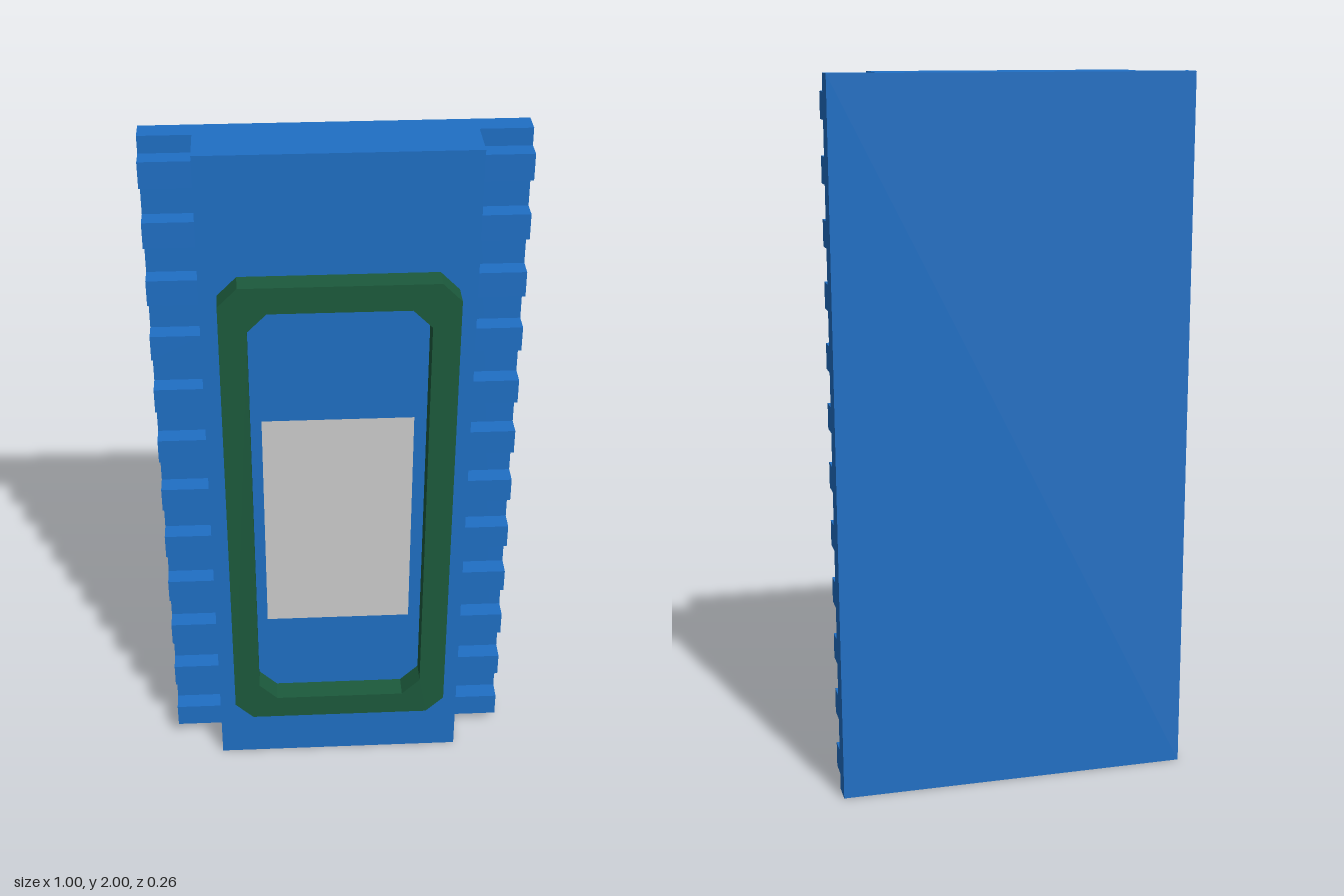
import * as THREE from 'three';

const blue = new THREE.MeshStandardMaterial({ color: 0x1f6fc4, flatShading: true });
const green = new THREE.MeshStandardMaterial({ color: 0x1c5a3c, flatShading: true });
const grey = new THREE.MeshStandardMaterial({ color: 0xcccccc, side: THREE.DoubleSide });

// Rectangle with chamfered corners, used for both outlines of the frame
function chamferedRect(path, w, y0, y1, c) {
  path.moveTo(-w + c, y0);
  path.lineTo(w - c, y0);
  path.lineTo(w, y0 + c);
  path.lineTo(w, y1 - c);
  path.lineTo(w - c, y1);
  path.lineTo(-w + c, y1);
  path.lineTo(-w, y1 - c);
  path.lineTo(-w, y0 + c);
  path.closePath();
  return path;
}

export function createModel() {
  const group = new THREE.Group();
  const add = (name, geometry, material, x = 0, y = 0, z = 0) => {
    const mesh = new THREE.Mesh(geometry, material);
    mesh.name = name;
    mesh.position.set(x, y, z);
    group.add(mesh);
    return mesh;
  };

  const edge = 0.5, core = 0.362;
  const back = -0.13, step = -0.065, toothFront = -0.012, front = 0.065;

  // Stepped slab: wide back plate with a raised centre
  const profile = new THREE.Shape([
    [-edge, back], [edge, back], [edge, step], [core, step],
    [core, front], [-core, front], [-core, step], [-edge, step],
  ].map(([x, z]) => new THREE.Vector2(x, -z)).reverse());
  const slab = new THREE.ExtrudeGeometry(profile, { depth: 2, bevelEnabled: false });
  slab.rotateX(-Math.PI / 2);
  add('slab', slab, blue);

  // Rows of teeth along both side ledges
  const count = 12, pitch = 2 / count;
  const tooth = new THREE.BoxGeometry(edge - core, 0.072, toothFront - step);
  for (const side of [-1, 1]) {
    for (let i = 0; i < count; i++) {
      add(side > 0 ? 'leftTooth' : 'rightTooth', tooth, blue,
        side * (edge + core) / 2, (i + 0.5) * pitch, (toothFront + step) / 2);
    }
  }

  // Raised chamfered frame
  const outline = chamferedRect(new THREE.Shape(), 0.314, 0.2, 1.667, 0.052);
  outline.holes.push(chamferedRect(new THREE.Path(), 0.24, 0.274, 1.592, 0.052));
  add('frame', new THREE.ExtrudeGeometry(outline, { depth: 0.065, bevelEnabled: false }),
    green, 0, 0, front);

  // Thin panel just in front of the slab face
  add('panel', new THREE.PlaneGeometry(0.415, 0.695), grey, -0.002, 0.881, front + 0.005);

  return group;
}
